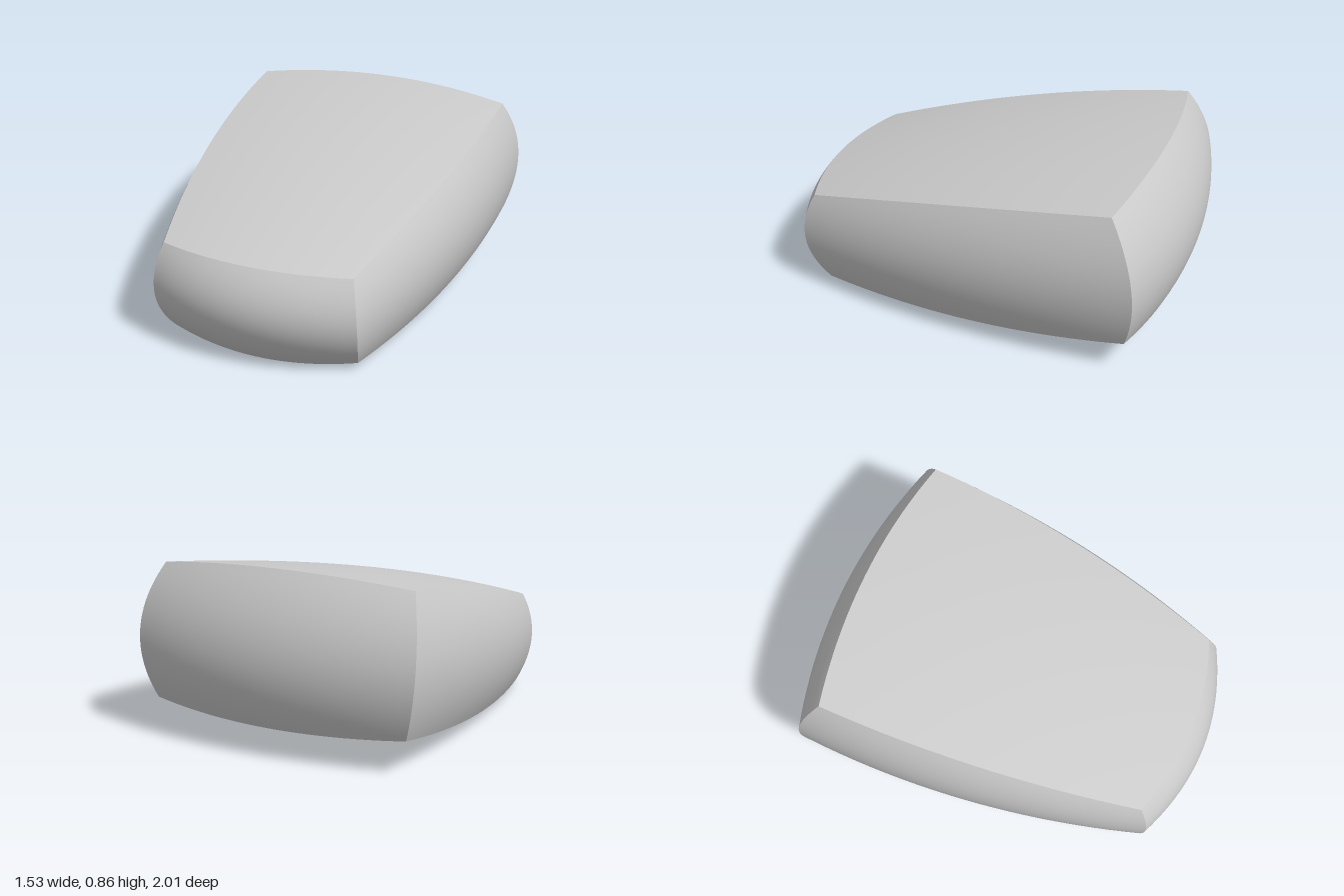
import * as THREE from 'three';

// Control sections from back to front, each listed bottom, middle, top:
// [centre y, centre z, side x, side y, side z]
const SECTIONS = [
  [[0.14, -0.93, 0.69, 0.165, -0.845], [0.50, -1.0, 0.757, 0.50, -0.885], [0.865, -0.83, 0.685, 0.82, -0.76]],
  [[0.033, -0.04, 0.637, 0.068, -0.04], [0.38, 0.0, 0.725, 0.38, 0.0], [0.73, 0.04, 0.635, 0.69, 0.035]],
  [[0.002, 0.85, 0.48, 0.035, 0.77], [0.255, 1.0, 0.517, 0.26, 0.88], [0.505, 0.915, 0.48, 0.50, 0.83]],
];

// Quadratic weights for the controls at -1, 0 and 1
const weights = (t) => [t * (t - 1) / 2, 1 - t * t, t * (t + 1) / 2];

// Bulged point for a position in the unit cube (-1..1 on each axis)
function bulge(u, v, w) {
  const c = [0, 0, 0, 0, 0];
  const wv = weights(v), ww = weights(w);
  SECTIONS.forEach((section, k) => section.forEach((p, j) => {
    p.forEach((value, i) => { c[i] += value * ww[k] * wv[j]; });
  }));
  const [cy, cz, sx, sy, sz] = c;
  return [sx * u, cy + (sy - cy) * u * u, cz + (sz - cz) * u * u];
}

export function createModel() {
  const group = new THREE.Group();
  group.name = 'taperedPad';

  // Box with six bulging faces; the faces share no vertices, so edges stay sharp
  const geometry = new THREE.BoxGeometry(2, 2, 2, 24, 24, 24);
  const pos = geometry.attributes.position;
  for (let i = 0; i < pos.count; i++) {
    pos.setXYZ(i, ...bulge(pos.getX(i), pos.getY(i), pos.getZ(i)));
  }
  geometry.computeVertexNormals();

  const body = new THREE.Mesh(geometry, new THREE.MeshStandardMaterial({ color: 0xcccccc }));
  body.name = 'body';
  group.add(body);
  return group;
}
